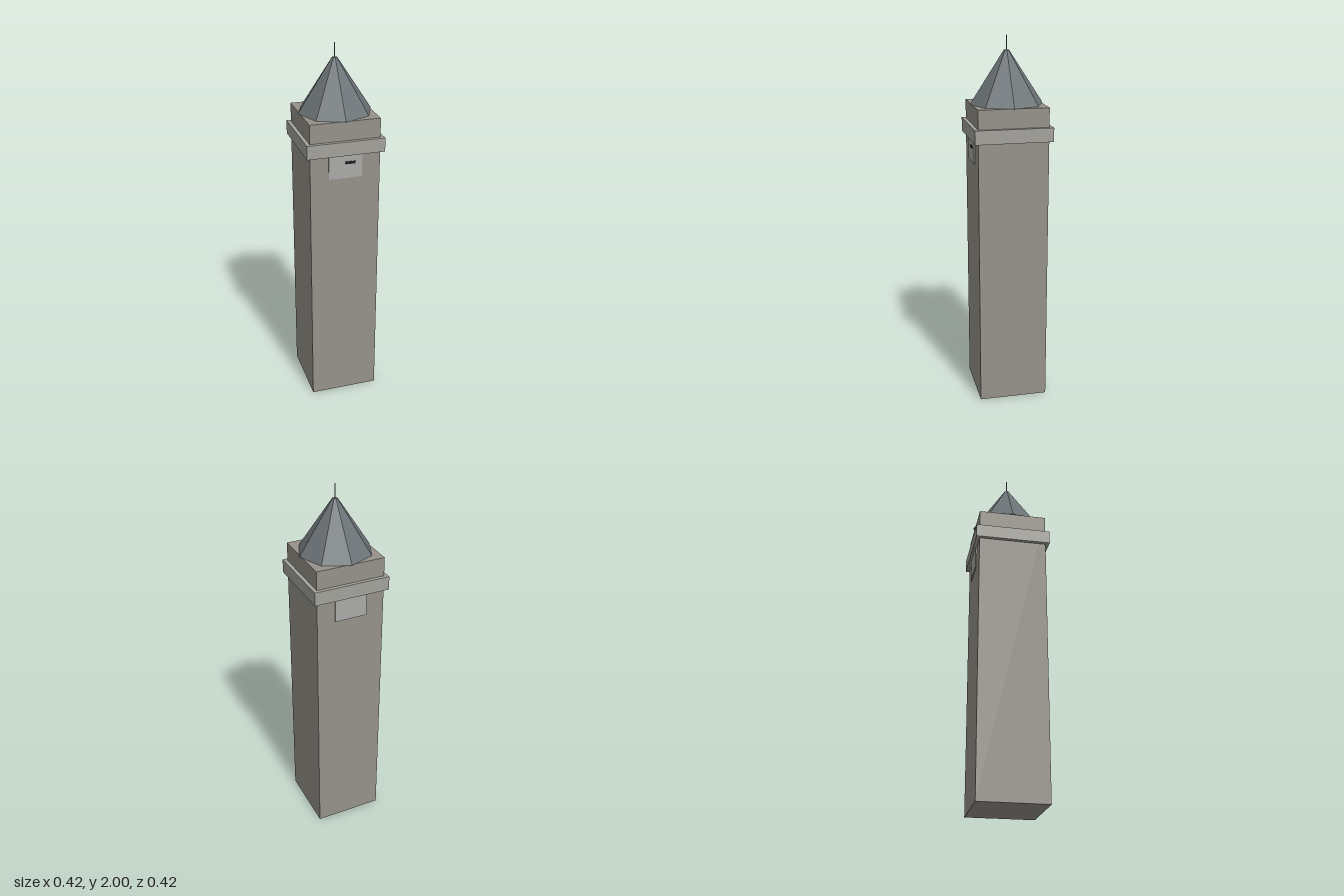
import * as THREE from 'three';

const paint = (color) => new THREE.MeshStandardMaterial({ color, flatShading: true });

export function createModel() {
  const tower = new THREE.Group();
  tower.name = 'clockTower';
  const stone = paint(0x96928a);
  const trim = paint(0xa3a29b);
  const dial = paint(0xaaaaa8);
  const slate = paint(0x6c7376);
  const dark = paint(0x222222);

  const add = (name, geometry, material, x, y, z) => {
    const mesh = new THREE.Mesh(geometry, material);
    mesh.name = name;
    mesh.position.set(x, y, z);
    tower.add(mesh);
    return mesh;
  };
  // Box standing on height y0 and reaching y1
  const block = (name, w, y0, y1, d, material, x = 0, z = 0) =>
    add(name, new THREE.BoxGeometry(w, y1 - y0, d), material, x, (y0 + y1) / 2, z);

  // Square shaft and the band around it
  block('shaft', 0.376, 0, 1.644, 0.376, stone);
  block('cornice', 0.416, 1.468, 1.542, 0.416, trim);

  // Square dials on front and back, tucked under the cornice
  for (const side of [1, -1]) {
    block(side > 0 ? 'frontDial' : 'backDial', 0.178, 1.341, 1.519, 0.008, dial, 0, side * 0.19);
  }
  block('clockHand', 0.052, 1.418, 1.431, 0.005, dark, 0.026, 0.196);

  // Eight-sided roof, a corner on each axis, and its thin finial
  add('roof', new THREE.CylinderGeometry(0.014, 0.198, 0.28, 8), slate, 0, 1.784, 0);
  add('finial', new THREE.CylinderGeometry(0.003, 0.003, 0.08, 6), slate, 0, 1.96, 0);

  return tower;
}
